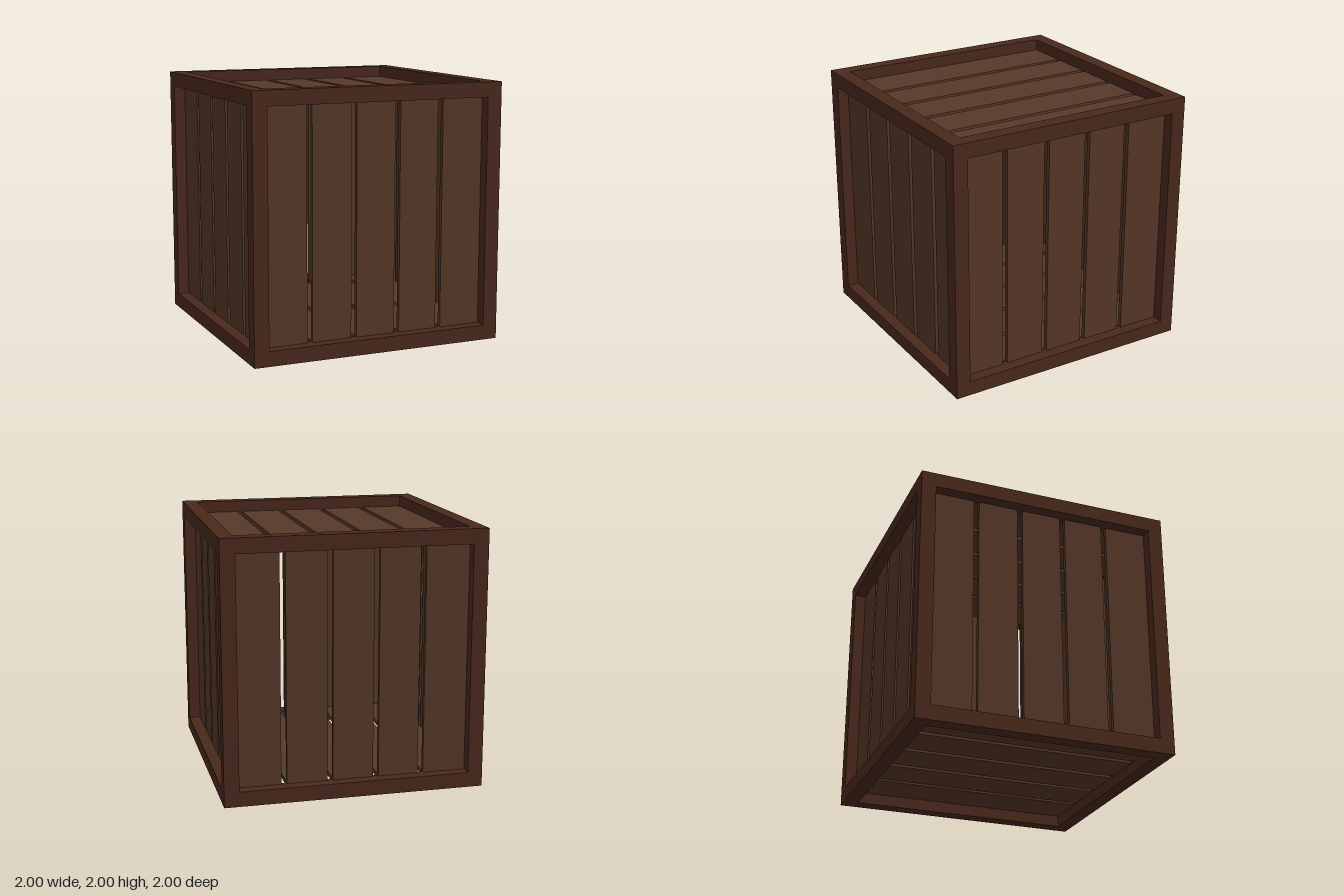
import * as THREE from 'three';

const BEAM = 0.115;            // square section of the frame timbers
const INNER = 1 - BEAM;        // half width of each framed opening
const RECESS = 0.09;           // how far the planks sit behind the frame
const THICK = 0.035;           // plank thickness
const GAP = 0.042;             // slit between planks
const COUNT = 5;

const frameMaterial = new THREE.MeshStandardMaterial({ color: 0x4a291c });
const plankMaterial = new THREE.MeshStandardMaterial({ color: 0x563828 });

function addBox(parent, name, size, position, material) {
  const mesh = new THREE.Mesh(new THREE.BoxGeometry(...size), material);
  mesh.name = name;
  mesh.position.set(...position);
  parent.add(mesh);
}

// Twelve timbers: full-height posts, with rails fitted between them
function createFrame() {
  const frame = new THREE.Group();
  frame.name = 'frame';
  const c = 1 - BEAM / 2;
  for (const a of [-c, c]) {
    for (const b of [-c, c]) {
      addBox(frame, 'cornerPost', [BEAM, 2, BEAM], [a, 0, b], frameMaterial);
      addBox(frame, 'crossRail', [2 * INNER, BEAM, BEAM], [0, a, b], frameMaterial);
      addBox(frame, 'sideRail', [BEAM, BEAM, 2 * INNER], [a, b, 0], frameMaterial);
    }
  }
  return frame;
}

// One slatted wall facing +z with upright planks
function createPanel(name) {
  const panel = new THREE.Group();
  panel.name = name;
  const pitch = (2 * INNER) / COUNT;
  for (let i = 0; i < COUNT; i++) {
    // The outermost planks run right up to the frame
    const left = -INNER + i * pitch + (i > 0 ? GAP / 2 : 0);
    const right = -INNER + (i + 1) * pitch - (i < COUNT - 1 ? GAP / 2 : 0);
    addBox(panel, 'plank', [right - left, 2 * INNER, THICK],
      [(left + right) / 2, 0, 1 - RECESS - THICK / 2], plankMaterial);
  }
  return panel;
}

export function createModel() {
  const model = new THREE.Group();
  model.name = 'crate';
  const body = new THREE.Group();
  body.name = 'crateBody';
  body.position.y = 1;
  body.add(createFrame());

  // Four walls, then the lid and the floor
  ['frontPanel', 'leftPanel', 'backPanel', 'rightPanel'].forEach((name, i) => {
    const wall = createPanel(name);
    wall.rotation.y = (i * Math.PI) / 2;
    body.add(wall);
  });
  for (const [name, turn] of [['topPanel', -1], ['bottomPanel', 1]]) {
    const panel = createPanel(name);
    panel.rotation.x = (turn * Math.PI) / 2;
    body.add(panel);
  }

  model.add(body);
  return model;
}
